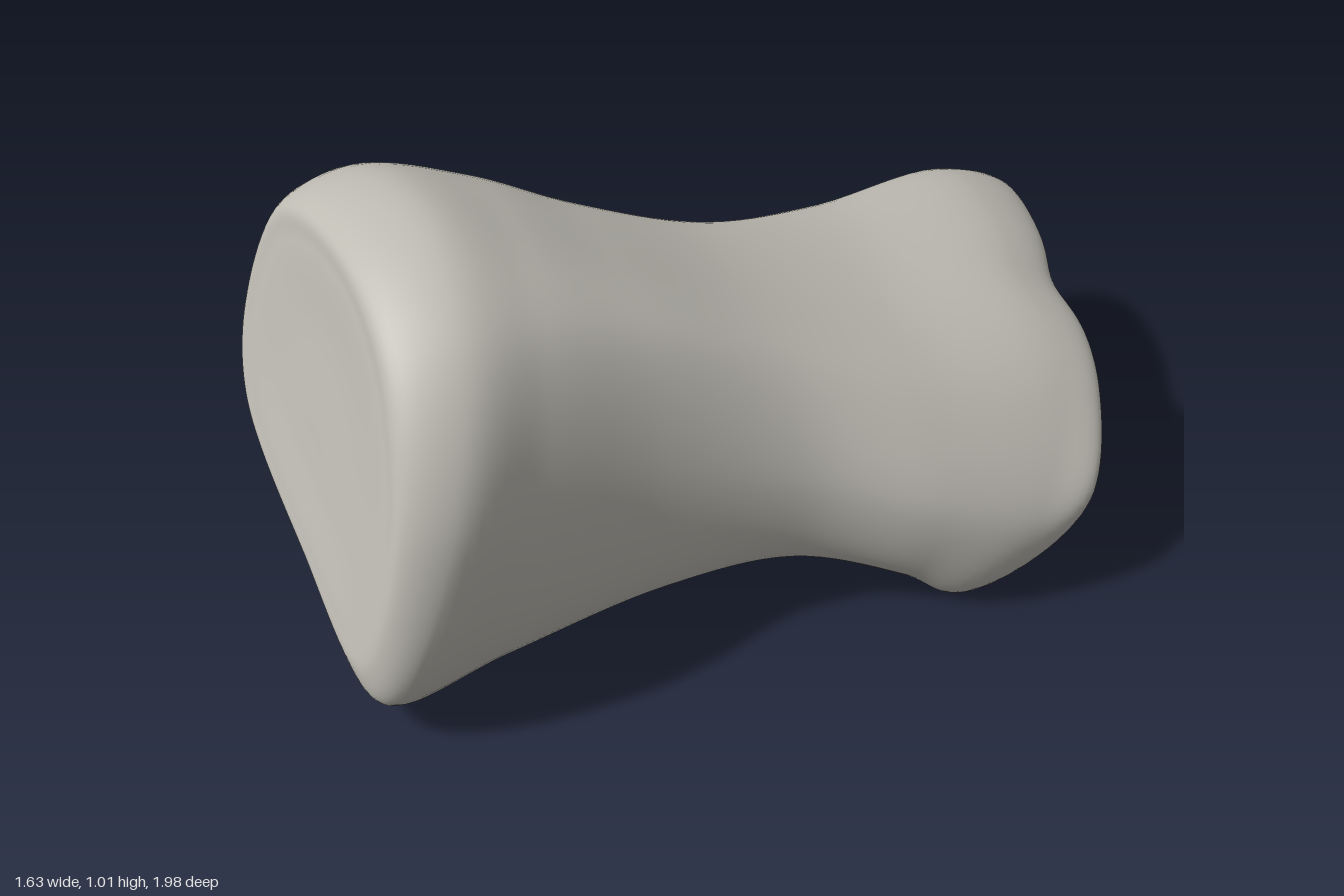
import * as THREE from 'three';
import { mergeVertices } from 'three/addons/utils/BufferGeometryUtils.js';

const AROUND = 96, ALONG = 110;
const { lerp, clamp, smoothstep } = THREE.MathUtils;

// The bone lies diagonally: s = across the bone, a = along it (big end to small end)
const place = (s, y, a) => [0.9 * s + 0.44 * a, y, 0.44 * s - 0.9 * a];

// Outlines of the two ends in a unit square, clockwise from the left; the shaft blends between them
const bigOutline = [[0, 0.4], [0.13, 0.86], [0.54, 1], [0.83, 0.87], [1, 0.5], [0.92, 0], [0.53, 0.04], [0.08, 0.19]];
const smallOutline = [[0, 0.67], [0.06, 1], [0.44, 1], [0.81, 0.82], [1, 0.42], [0.91, 0], [0.5, 0.12], [0.06, 0.23]];
const SHOULDER = 3; // the upper right corner, fuller along the shaft

// Stations along the bone: position, left, right, bottom, top, lean of the cut with height, turn across
const stations = [
  [-0.85, -0.46, 0.49, 0.17, 0.95, 0.21, 0.1],
  [-0.75, -0.52, 0.53, 0.1, 1, 0.32, 0.09],
  [-0.5, -0.42, 0.47, 0.11, 0.935, 0.2, 0],
  [-0.2, -0.3, 0.41, 0.14, 0.83, 0, 0],
  [0.1, -0.28, 0.42, 0.14, 0.685, 0, 0],
  [0.38, -0.36, 0.51, 0.07, 0.59, 0.15, 0],
  [0.63, -0.44, 0.55, 0.005, 0.545, 0.6, 0],
  [0.81, -0.42, 0.53, 0.08, 0.48, 0.5, -0.1],
];

// Smooth closed cross-section in (s, y, a) space
function crossSection([at, left, right, bottom, top, lean, turn]) {
  const blend = clamp((at + 0.75) / 1.38, 0, 1);
  const pivot = lerp(0.5, 0.3, blend);
  const points = bigOutline.map(([u, v], i) => {
    const fullness = i === SHOULDER ? 0.07 * Math.sin(Math.PI * blend) : 0;
    const s = lerp(left, right, lerp(u, smallOutline[i][0], blend));
    const y = lerp(bottom, top, lerp(v, smallOutline[i][1], blend) + fullness);
    return new THREE.Vector3(s, y, at + lean * (y - pivot) + turn * s);
  });
  return new THREE.CatmullRomCurve3(points, true).getPoints(AROUND).slice(0, AROUND);
}

// Shrinks an end ring towards its centre to close the end
function capRing(ring, scale, push) {
  const centre = ring.reduce((sum, p) => sum.add(p), new THREE.Vector3()).divideScalar(ring.length);
  return ring.map((p) => {
    const q = centre.clone().lerp(p, scale);
    q.z += push;
    return q;
  });
}

function boneGeometry() {
  const rings = stations.map(crossSection);
  const first = rings[0], last = rings[rings.length - 1];
  const allRings = [
    capRing(first, 0, 0), capRing(first, 0.45, 0), capRing(first, 0.85, -0.006),
    ...rings,
    capRing(last, 0.8, 0.018), capRing(last, 0.4, 0.015), capRing(last, 0, 0.01),
  ];
  const positions = [], index = [];
  for (let i = 0; i < AROUND; i++) {
    const line = new THREE.CatmullRomCurve3(allRings.map((ring) => ring[i]));
    for (let j = 0; j <= ALONG; j++) {
      const p = line.getPoint(j / ALONG);
      // shallow groove between the two knuckles of the small end
      const groove = 0.025 * Math.exp(-((p.x - 0.05) ** 2) / 0.01) * smoothstep(p.z, 0.6, 0.88);
      positions.push(...place(p.x, p.y, p.z - groove));
      if (j === ALONG) continue;
      const m = i * (ALONG + 1) + j, k = ((i + 1) % AROUND) * (ALONG + 1) + j;
      if (j > 0) index.push(m, k, k + 1);
      if (j < ALONG - 1) index.push(m, k + 1, m + 1);
    }
  }
  const geometry = new THREE.BufferGeometry();
  geometry.setAttribute('position', new THREE.Float32BufferAttribute(positions, 3));
  geometry.setIndex(index);
  const merged = mergeVertices(geometry, 1e-5);
  merged.computeVertexNormals();
  return merged;
}

export function createModel() {
  const boneGrey = new THREE.MeshStandardMaterial({ color: 0xbebbb3 });
  boneGrey.name = 'boneGrey';
  const bone = new THREE.Mesh(boneGeometry(), boneGrey);
  bone.name = 'bone';
  const model = new THREE.Group();
  model.name = 'toeBone';
  model.add(bone);
  return model;
}
